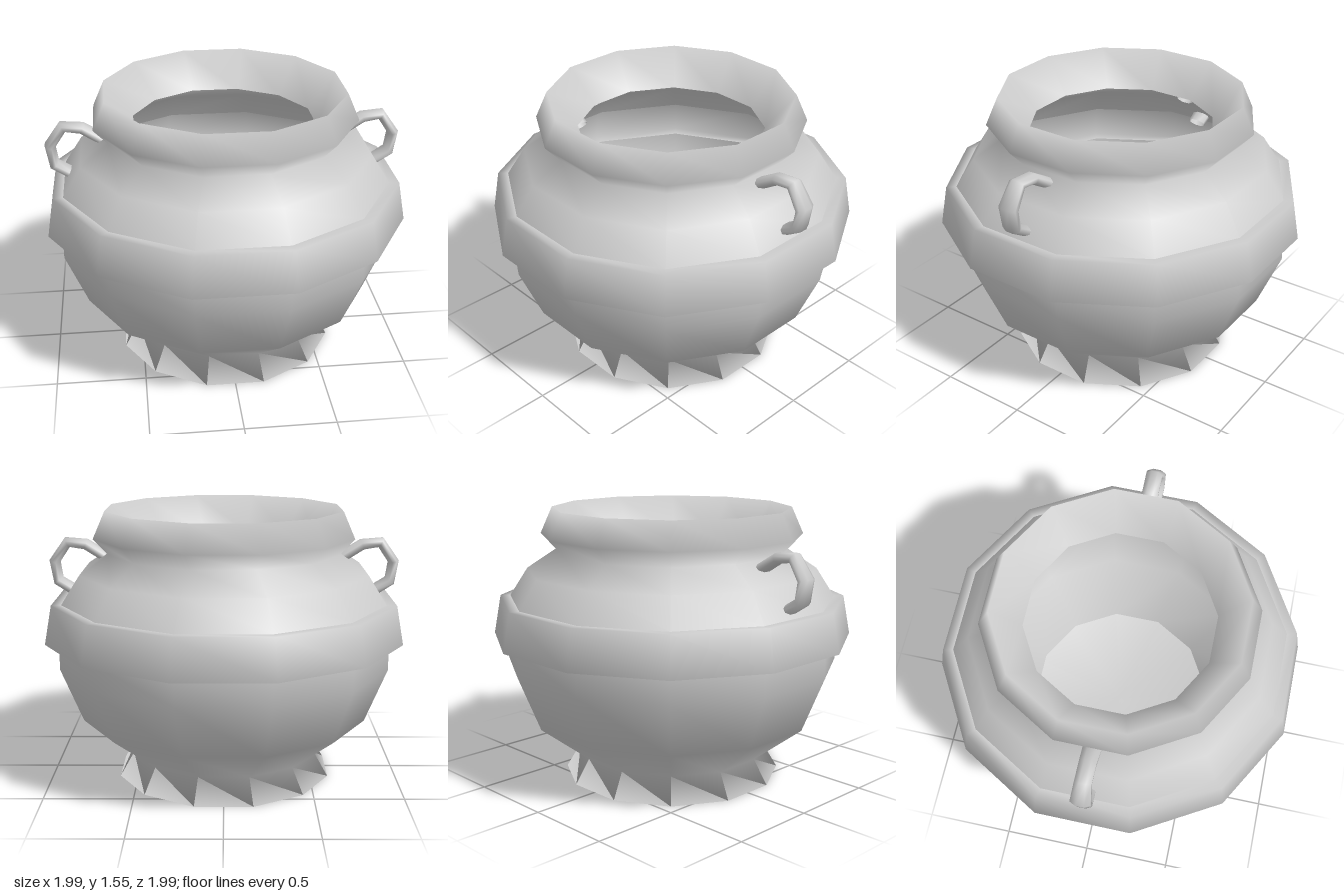
import * as THREE from 'three';

const SIDES = 12;
const material = new THREE.MeshStandardMaterial({ color: 0xcccccc, side: THREE.DoubleSide });

// Twelve-sided turned part; profile radii are measured to the flats.
function turned(name, profile) {
  const k = 1 / Math.cos(Math.PI / SIDES);
  const points = profile.map(([r, y]) => new THREE.Vector2(r * k, y));
  const mesh = new THREE.Mesh(new THREE.LatheGeometry(points, SIDES, Math.PI / SIDES), material);
  mesh.name = name;
  return mesh;
}

// Strap swept along a path in the xy plane; each point is [x, y, half width].
function strapGeometry(path, halfThickness, sides) {
  const positions = [], index = [];
  path.forEach(([x, y, w], i) => {
    const a = path[Math.max(i - 1, 0)], b = path[Math.min(i + 1, path.length - 1)];
    const t = new THREE.Vector2(b[0] - a[0], b[1] - a[1]).normalize();
    for (let j = 0; j < sides; j++) {
      const ang = ((j + 0.5) / sides) * Math.PI * 2;
      const n = Math.sin(ang) * halfThickness / Math.sin(Math.PI / 2 - Math.PI / sides);
      const s = Math.cos(ang) * w / Math.cos(Math.PI / sides);
      positions.push(x - t.y * n, y + t.x * n, s);
      if (i < path.length - 1) {
        const p = i * sides + j, q = i * sides + (j + 1) % sides;
        index.push(p, p + sides, q, q, p + sides, q + sides);
      }
    }
  });
  const g = new THREE.BufferGeometry();
  g.setAttribute('position', new THREE.Float32BufferAttribute(positions, 3));
  g.setIndex(index);
  g.computeVertexNormals();
  return g;
}

export function createModel() {
  const pot = new THREE.Group();
  pot.name = 'pot';

  // Closed base, flared foot and lower bowl
  pot.add(turned('footAndBowl', [
    [0, 0], [0.605, 0], [0.525, 0.14], [0.8, 0.36], [0.92, 0.67], [0.92, 0.82],
  ]));

  // Overhanging band around the belly
  pot.add(turned('band', [[0.92, 0.82], [0.995, 0.82], [0.955, 1.04], [0.9, 1.04]]));

  // Shoulder, neck and rim, turning inwards at the mouth
  pot.add(turned('shoulderAndRim', [
    [0.9, 1.04], [0.8, 1.2], [0.64, 1.31], [0.72, 1.4], [0.655, 1.55], [0.5, 1.35],
  ]));

  // Pair of strap handles
  const strap = strapGeometry([
    [0.66, 1.265, 0.05], [0.785, 1.343, 0.045], [0.89, 1.355, 0.045],
    [0.965, 1.248, 0.055], [0.947, 1.135, 0.055], [0.82, 1.055, 0.05],
  ], 0.029, 8);
  for (const [name, turn] of [['leftHandle', 0], ['rightHandle', Math.PI]]) {
    const handle = new THREE.Mesh(strap, material);
    handle.name = name;
    handle.rotation.y = turn;
    pot.add(handle);
  }
  return pot;
}
